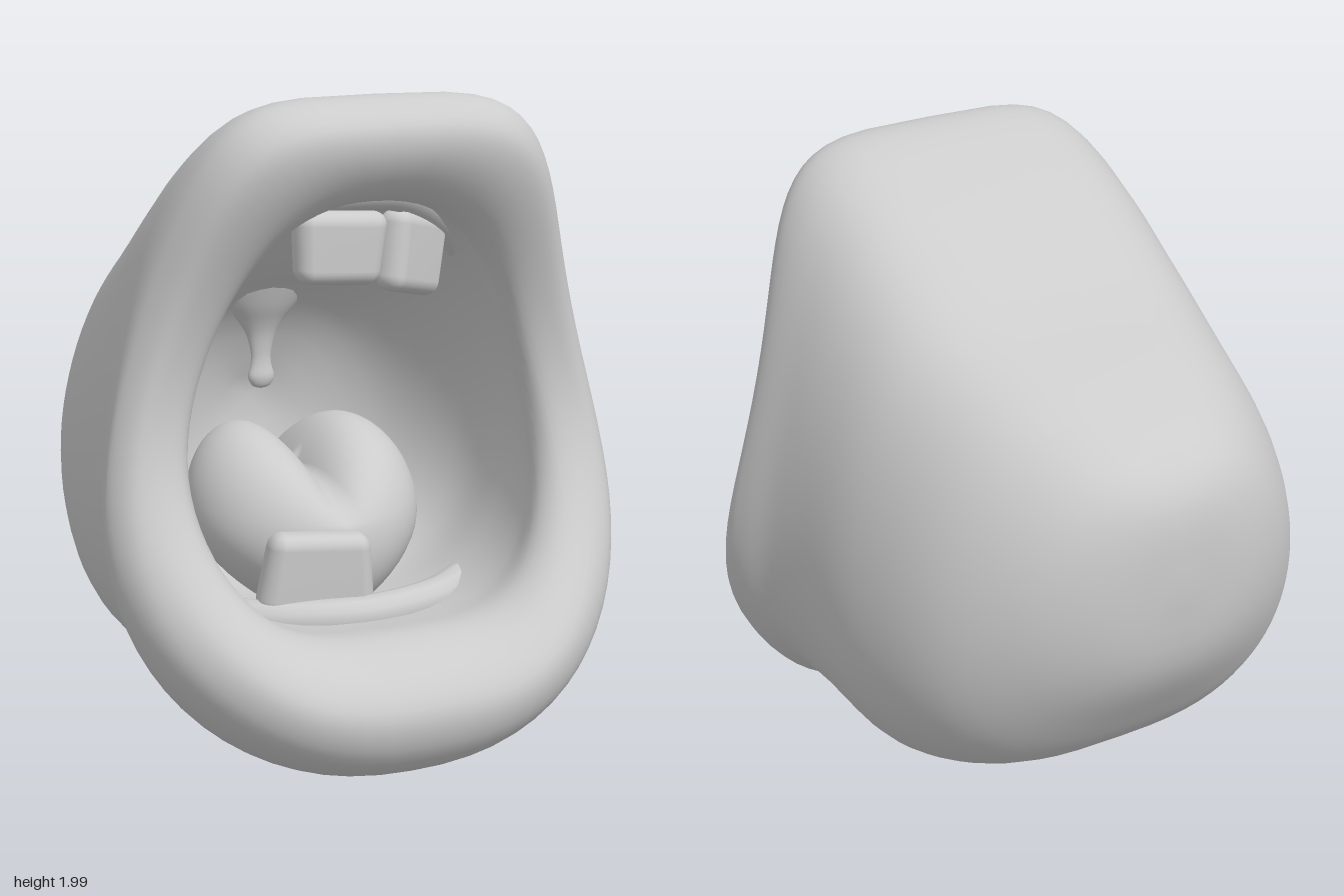
import * as THREE from 'three';
import { mergeVertices } from 'three/addons/utils/BufferGeometryUtils.js';
import { RoundedBoxGeometry } from 'three/addons/geometries/RoundedBoxGeometry.js';

const V = (x, y, z) => new THREE.Vector3(x, y, z);
const material = new THREE.MeshStandardMaterial({ color: 0xcccccc, side: THREE.DoubleSide });

// Rings from the back of the head, over the lips, to the back of the throat:
// top y, top z, bottom y, bottom z, half width, how far the sides sit back,
// roundness of the upper and of the lower half (1 = ellipse, less = squarer)
const RINGS = [
  [1.0, -0.89, 1.0, -0.89, 0, 0, 0.8, 0.8],
  [1.25, -0.87, 0.72, -0.85, 0.25, 0, 0.8, 0.8],
  [1.37, -0.79, 0.5, -0.72, 0.46, 0, 0.7, 0.75],
  [1.5, -0.55, 0.3, -0.55, 0.63, 0, 0.58, 0.7],
  [1.63, -0.23, 0.16, -0.23, 0.72, 0, 0.47, 0.6],
  [1.77, 0.0, 0.165, 0.15, 0.735, 0, 0.42, 0.52],
  [1.89, 0.2, 0.13, 0.37, 0.75, 0.06, 0.42, 0.58],
  [1.99, 0.43, 0.01, 0.56, 0.785, 0.15, 0.45, 0.8],
  [1.99, 0.55, 0.04, 0.75, 0.785, 0.25, 0.45, 0.85],
  [1.92, 0.64, 0.14, 0.87, 0.735, 0.29, 0.5, 0.78],
  [1.83, 0.64, 0.27, 0.9, 0.66, 0.3, 0.63, 0.68],
  [1.73, 0.57, 0.38, 0.82, 0.575, 0.25, 0.75, 0.62],
  [1.69, 0.48, 0.44, 0.68, 0.545, 0.2, 0.85, 0.58],
  [1.7, 0.3, 0.42, 0.5, 0.58, 0.1, 0.8, 0.6],
  [1.62, 0.05, 0.38, 0.2, 0.62, 0, 0.7, 0.7],
  [1.4, -0.18, 0.36, -0.12, 0.6, 0, 0.7, 0.7],
  [1.2, -0.4, 0.45, -0.4, 0.42, 0, 0.7, 0.8],
  [0.9, -0.53, 0.9, -0.53, 0, 0, 0.8, 0.8],
];

// Point on a ring at angle t (0 = top, going towards +x); lip rings sag at the jowls
function ringPoint([yt, zt, yb, zb, w, bow, roundTop, roundBottom], t) {
  const u = Math.cos(t), s = Math.sin(t), k = (1 + u) / 2;
  const power = roundBottom + (roundTop - roundBottom) * k;
  const taper = 1 - 0.11 * u - 0.2 * bow * Math.sin(Math.PI * u);
  return V(
    Math.sign(s) * Math.pow(Math.abs(s), power) * w * taper,
    yb + (yt - yb) * k,
    zb + (zt - zb) * k - bow * Math.pow(Math.abs(s), 2.6));
}

// One continuous skin: outside, rolled lips and mouth cavity
function skinGeometry(cols = 80, rows = 72) {
  const pos = [], index = [];
  for (let j = 0; j < cols; j++) {
    const t = (j / cols) * Math.PI * 2;
    const curve = new THREE.CatmullRomCurve3(RINGS.map(r => ringPoint(r, t)));
    for (let i = 0; i <= rows; i++) pos.push(...curve.getPoint(i / rows).toArray());
  }
  for (let j = 0; j < cols; j++) {
    for (let i = 0; i < rows; i++) {
      const a = j * (rows + 1) + i, b = ((j + 1) % cols) * (rows + 1) + i;
      index.push(a, a + 1, b, a + 1, b + 1, b);
    }
  }
  let g = new THREE.BufferGeometry();
  g.setAttribute('position', new THREE.Float32BufferAttribute(pos, 3));
  g.setIndex(index);
  g = mergeVertices(g, 1e-4);
  g.computeVertexNormals();
  return g;
}

// Move every vertex by a rule
function deform(geometry, rule) {
  geometry.deleteAttribute('uv');
  geometry.deleteAttribute('normal');
  const g = mergeVertices(geometry, 1e-4);
  const p = g.attributes.position, v = V(0, 0, 0);
  for (let i = 0; i < p.count; i++) {
    v.fromBufferAttribute(p, i);
    rule(v);
    p.setXYZ(i, v.x, v.y, v.z);
  }
  g.computeVertexNormals();
  return g;
}

export function createModel() {
  const model = new THREE.Group();
  const add = (name, geometry) => {
    const mesh = new THREE.Mesh(geometry, material);
    mesh.name = name;
    model.add(mesh);
    return mesh;
  };

  add('headAndLips', skinGeometry());

  // Tongue with two lobes and a groove, narrower below
  add('tongue', deform(new THREE.SphereGeometry(1, 48, 32), v => {
    const up = Math.max(0, v.y), down = Math.max(0, -v.y);
    const x = v.x * 0.37 * (1 - 0.4 * down * down);
    const groove = 0.24 * up * Math.exp(-Math.abs(x) / 0.12);
    v.set(x, 0.65 + v.y * 0.35 - groove, -0.06 + v.z * 0.36 - 0.08 * v.y);
  }));

  // Uvula: small drop on a stem that flares into the palate
  const drop = [[0, 0.95], [0.03, 0.96], [0.045, 0.99], [0.036, 1.03], [0.035, 1.07],
    [0.05, 1.13], [0.08, 1.18], [0.13, 1.24], [0.19, 1.33]];
  const profile = new THREE.SplineCurve(drop.map(([x, y]) => new THREE.Vector2(x, y))).getPoints(32);
  profile.forEach(p => { p.x = Math.max(0, p.x); });
  const uvula = add('uvula', new THREE.LatheGeometry(profile, 24));
  uvula.position.z = -0.4;
  uvula.scale.z = 0.6;

  // Gums: half of each path, mirrored, with the ends sunk into the cheeks
  const gum = (name, half, radius) => {
    const left = half.map(p => V(...p));
    const right = half.slice(1).map(([x, y, z]) => V(-x, y, z)).reverse();
    const path = new THREE.CatmullRomCurve3([...right, ...left]);
    add(name, new THREE.TubeGeometry(path, 40, radius, 12));
  };
  gum('upperGum', [[0, 1.7, 0.32], [0.2, 1.67, 0.25], [0.37, 1.58, 0.15], [0.5, 1.47, 0.06]], 0.06);
  gum('lowerGum', [[0, 0.42, 0.42], [0.25, 0.42, 0.36], [0.42, 0.41, 0.22], [0.53, 0.4, 0.1]], 0.06);

  // Teeth: rounded blocks, wider towards +y by the taper
  const tooth = (name, [w, h, d], taper, [x, y, z], ry, rz) => {
    const g = deform(new RoundedBoxGeometry(w, h, d, 4, 0.045), v => {
      v.x *= 1 + taper * v.y / h;
      v.z -= 0.6 * v.x * v.x;
    });
    const m = add(name, g);
    m.position.set(x, y, z);
    m.rotation.set(0, ry, rz);
  };
  tooth('upperRightTooth', [0.28, 0.22, 0.1], 0.15, [-0.05, 1.535, 0.34], -0.05, -0.06);
  tooth('upperLeftTooth', [0.29, 0.25, 0.1], 0.1, [0.255, 1.48, 0.21], 0.6, -0.22);
  tooth('lowerTooth', [0.34, 0.25, 0.11], -0.2, [-0.125, 0.55, 0.36], -0.15, -0.06);

  return model;
}
